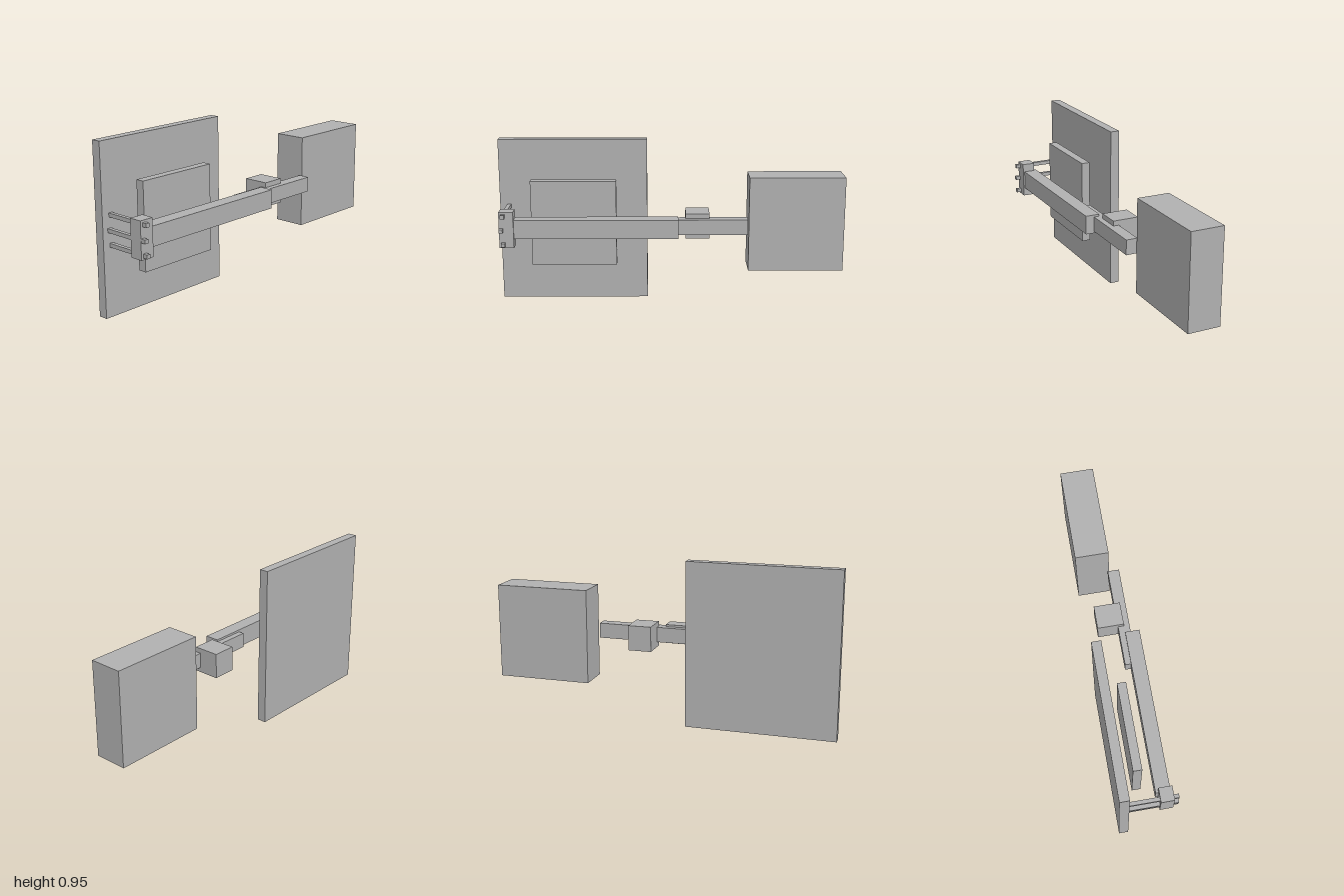
import * as THREE from 'three';

export function createModel() {
  const group = new THREE.Group();
  const grey = new THREE.MeshStandardMaterial({ color: 0xb0b0b0 });
  grey.name = 'plain grey';

  // Box given by its extents along each axis
  function box(name, [x0, x1], [y0, y1], [z0, z1]) {
    const mesh = new THREE.Mesh(new THREE.BoxGeometry(x1 - x0, y1 - y0, z1 - z0), grey);
    mesh.position.set((x0 + x1) / 2, (y0 + y1) / 2, (z0 + z1) / 2);
    mesh.name = name;
    group.add(mesh);
  }

  // Large panels and end block
  box('backPlate', [-1, -0.138], [0, 0.955], [-0.167, -0.113]);
  box('innerPanel', [-0.808, -0.315], [0.232, 0.729], [-0.06, -0.01]);
  box('endBlock', [0.45, 1], [0.205, 0.755], [-0.167, 0.025]);

  // Telescoping arm and the block behind it
  box('outerArm', [-0.905, 0.042], [0.425, 0.535], [0.05, 0.133]);
  box('innerArm', [-0.15, 0.44], [0.435, 0.523], [0.016, 0.083]);
  box('armBlock', [0.085, 0.221], [0.406, 0.552], [-0.103, 0.05]);

  // Clamp held to the back plate by three pins
  box('clamp', [-0.97, -0.888], [0.375, 0.584], [0.066, 0.142]);
  for (const [x, y] of [[-0.946, 0.561], [-0.957, 0.479], [-0.946, 0.397]]) {
    box('clampPin', [x - 0.011, x + 0.011], [y - 0.011, y + 0.011], [-0.115, 0.17]);
  }
  return group;
}
